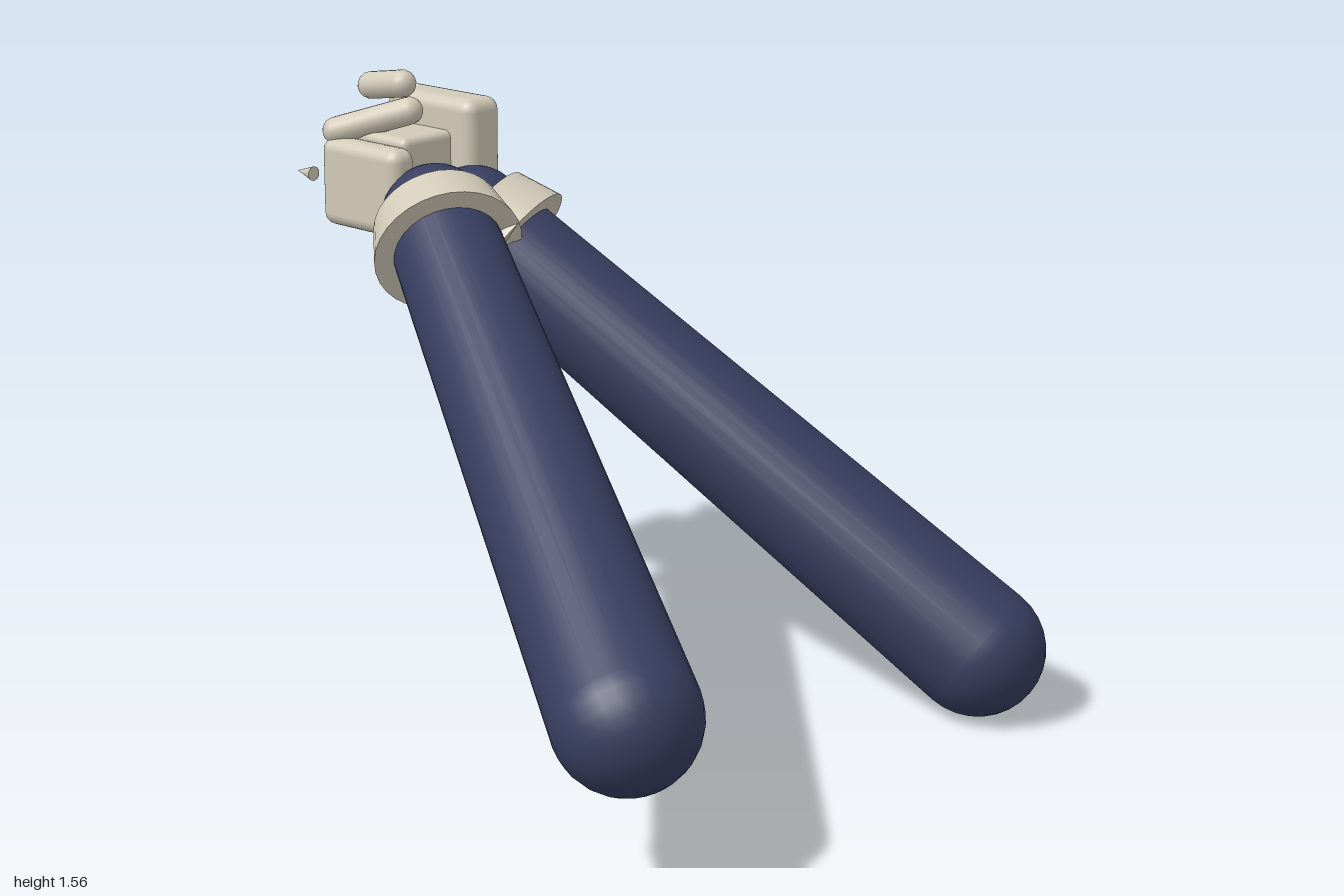
import * as THREE from 'three';
import { RoundedBoxGeometry } from 'three/addons/geometries/RoundedBoxGeometry.js';

const sleeveBlue = new THREE.MeshStandardMaterial({ color: 0x383e60 });
const gloveBeige = new THREE.MeshStandardMaterial({ color: 0xd2cab8 });
const UP = new THREE.Vector3(0, 1, 0);

export function createModel() {
  const model = new THREE.Group();

  const add = (parent, name, geometry, material) => {
    const mesh = new THREE.Mesh(geometry, material);
    mesh.name = name;
    parent.add(mesh);
    return mesh;
  };

  // Tapered capsule standing on its y axis, lower ball centred at the origin
  const taperedCapsule = (r0, r1, length) => {
    const profile = [];
    const steps = 8;
    for (let i = 0; i <= steps; i++) {
      const a = (i / steps - 1) * Math.PI / 2;
      profile.push(new THREE.Vector2(r0 * Math.cos(a), r0 * Math.sin(a)));
    }
    for (let i = 0; i <= steps; i++) {
      const a = (i / steps) * Math.PI / 2;
      profile.push(new THREE.Vector2(r1 * Math.cos(a), length + r1 * Math.sin(a)));
    }
    profile[0].x = profile[profile.length - 1].x = 0;
    return new THREE.LatheGeometry(profile, 28);
  };

  // Sleeve running from elbow to wrist, with a flared cuff near the wrist
  const addArm = (side, elbow, wrist) => {
    const from = new THREE.Vector3(...elbow);
    const axis = new THREE.Vector3(...wrist).sub(from);
    const length = axis.length();
    const arm = new THREE.Group();
    arm.name = side + 'Arm';
    arm.position.copy(from);
    arm.quaternion.setFromUnitVectors(UP, axis.normalize());
    add(arm, side + 'Sleeve', taperedCapsule(0.178, 0.145, length), sleeveBlue);
    add(arm, side + 'Cuff', new THREE.CylinderGeometry(0.173, 0.2, 0.125, 32), gloveBeige)
      .position.y = length - 0.075;
    model.add(arm);
  };
  addArm('right', [-0.69, 0.42, 0.82], [0.055, 1.22, -0.55]);
  addArm('left', [0.69, 0.18, 0.8], [0.205, 1.19, -0.555]);

  // Rounded block given by its two opposite corners
  const addBlock = (name, lo, hi, radius) => {
    const size = hi.map((v, i) => v - lo[i]);
    add(model, name, new RoundedBoxGeometry(...size, 3, radius), gloveBeige)
      .position.set(...hi.map((v, i) => (v + lo[i]) / 2));
  };
  addBlock('leftPalm', [0.2, 1.14, -0.9], [0.325, 1.508, -0.565], 0.035);
  addBlock('rightPalm', [-0.035, 1.16, -0.91], [0.05, 1.4, -0.61], 0.035);
  addBlock('gripCore', [0.03, 1.17, -0.88], [0.25, 1.42, -0.64], 0.02);
  addBlock('fingerBlock', [0.045, 1.16, -0.945], [0.27, 1.447, -0.85], 0.035);

  // Round-ended finger between two points
  const addFinger = (name, a, b, r) => {
    const p = new THREE.Vector3(...a);
    const q = new THREE.Vector3(...b);
    const finger = add(model, name, new THREE.CapsuleGeometry(r, p.distanceTo(q), 6, 14), gloveBeige);
    finger.position.copy(p).add(q).multiplyScalar(0.5);
    finger.quaternion.setFromUnitVectors(UP, q.sub(p).normalize());
  };
  addFinger('leftThumb', [0.2, 1.525, -0.825], [0.2, 1.505, -0.95], 0.038);
  addFinger('rightThumb', [0.01, 1.415, -0.885], [0.105, 1.48, -0.7], 0.038);
  addFinger('wrappedFinger', [0.08, 1.28, -0.963], [0.225, 1.28, -0.963], 0.034);
  addFinger('sideFinger', [0.308, 1.315, -0.61], [0.308, 1.255, -0.775], 0.028);

  // Small pointed tip beside the right palm
  const tip = add(model, 'pointedTip', new THREE.ConeGeometry(0.02, 0.065, 10), gloveBeige);
  tip.position.set(-0.047, 1.3, -0.95);
  tip.rotation.x = -Math.PI / 2;

  return model;
}
